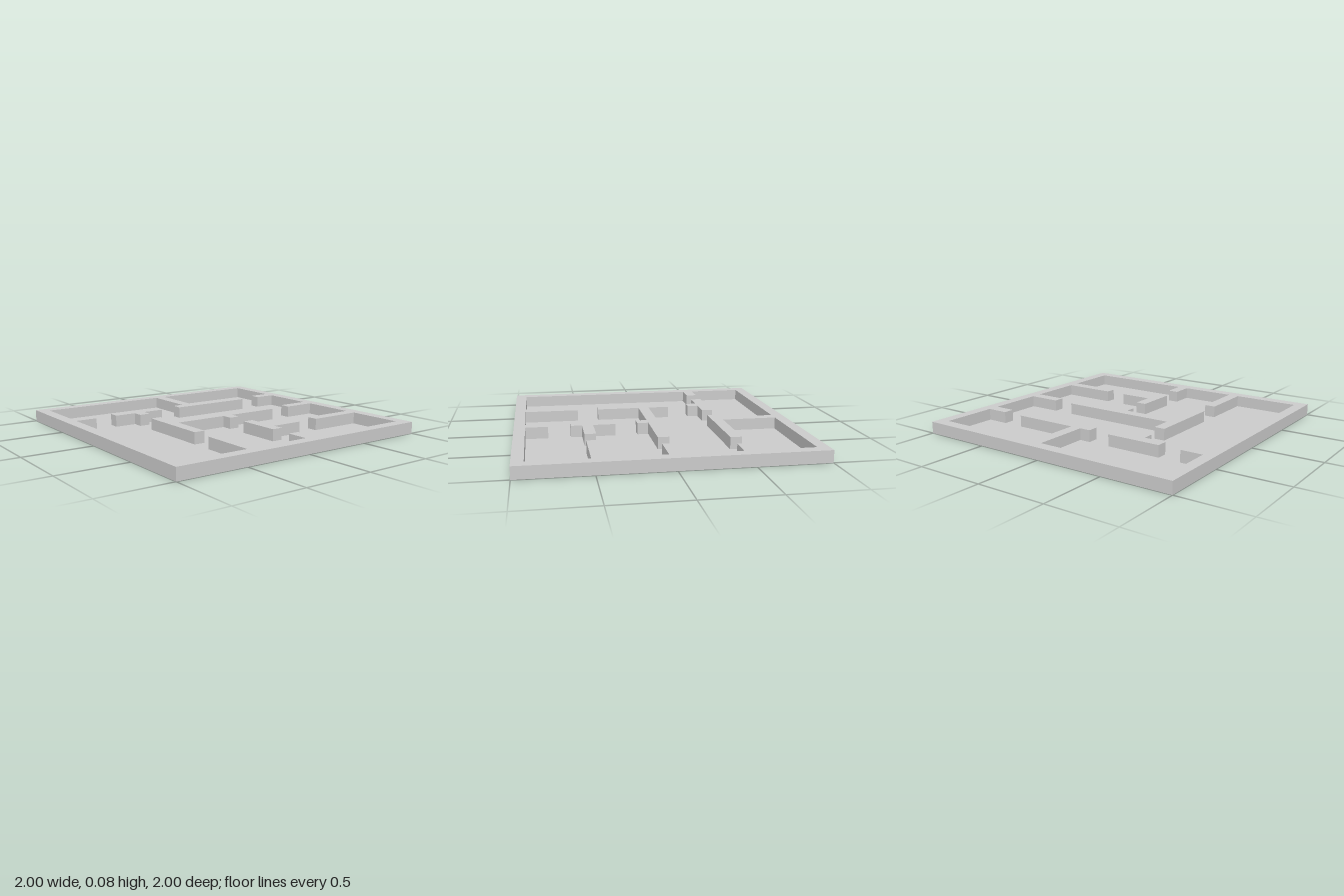
import * as THREE from 'three';

const N = 25;          // cells per side
const CELL = 2 / N;    // also the wall thickness
const HEIGHT = 0.084;  // wall height

// Walls as cell ranges: [first column, last column, first row, last row]
const WALLS = [
  // outer frame
  [0, 24, 0, 0], [0, 24, 24, 24], [0, 0, 0, 24], [24, 24, 0, 24],
  // walls running front to back, split by doorways
  [6, 6, 1, 2], [6, 6, 5, 12], [6, 6, 15, 19], [6, 6, 22, 23],
  [12, 12, 1, 3], [12, 12, 6, 17],
  [18, 18, 1, 5], [18, 18, 8, 11],
  // walls running side to side
  [1, 6, 11, 11], [12, 13, 11, 11], [16, 19, 11, 11], [22, 23, 11, 11],
  [6, 7, 17, 17], [10, 16, 17, 17], [19, 23, 17, 17],
];

const isWall = (i, j) => WALLS.some(([a, b, c, d]) => i >= a && i <= b && j >= c && j <= d);

// Mesh from a list of four-cornered faces
function quadMesh(name, quads) {
  const positions = quads.flatMap(([a, b, c, d]) => [a, b, c, a, c, d].flat());
  const geometry = new THREE.BufferGeometry();
  geometry.setAttribute('position', new THREE.Float32BufferAttribute(positions, 3));
  geometry.computeVertexNormals();
  const material = new THREE.MeshStandardMaterial({ color: 0xcccccc, side: THREE.DoubleSide });
  const mesh = new THREE.Mesh(geometry, material);
  mesh.name = name;
  return mesh;
}

export function createModel() {
  const floor = [], tops = [], sides = [];

  for (let i = 0; i < N; i++) {
    for (let j = 0; j < N; j++) {
      const wall = isWall(i, j);
      const y = wall ? HEIGHT : 0;
      // corners in order around the cell, seen from above
      const corners = [[i, j], [i, j + 1], [i + 1, j + 1], [i + 1, j]]
        .map(([u, v]) => [u * CELL - 1, v * CELL - 1]);
      (wall ? tops : floor).push(corners.map(([x, z]) => [x, y, z]));
      if (!wall) continue;

      // a side face wherever the neighbouring cell is not a wall
      [[-1, 0], [0, 1], [1, 0], [0, -1]].forEach(([di, dj], k) => {
        if (isWall(i + di, j + dj)) return;
        const [ax, az] = corners[k], [bx, bz] = corners[(k + 1) % 4];
        sides.push([[ax, 0, az], [bx, 0, bz], [bx, HEIGHT, bz], [ax, HEIGHT, az]]);
      });
    }
  }

  // walls are hollow and open underneath; the floor is a thin sheet between them
  const walls = new THREE.Group();
  walls.name = 'walls';
  walls.add(quadMesh('wallTops', tops), quadMesh('wallSides', sides));

  const model = new THREE.Group();
  model.name = 'floorPlan';
  model.add(quadMesh('floor', floor), walls);
  return model;
}
